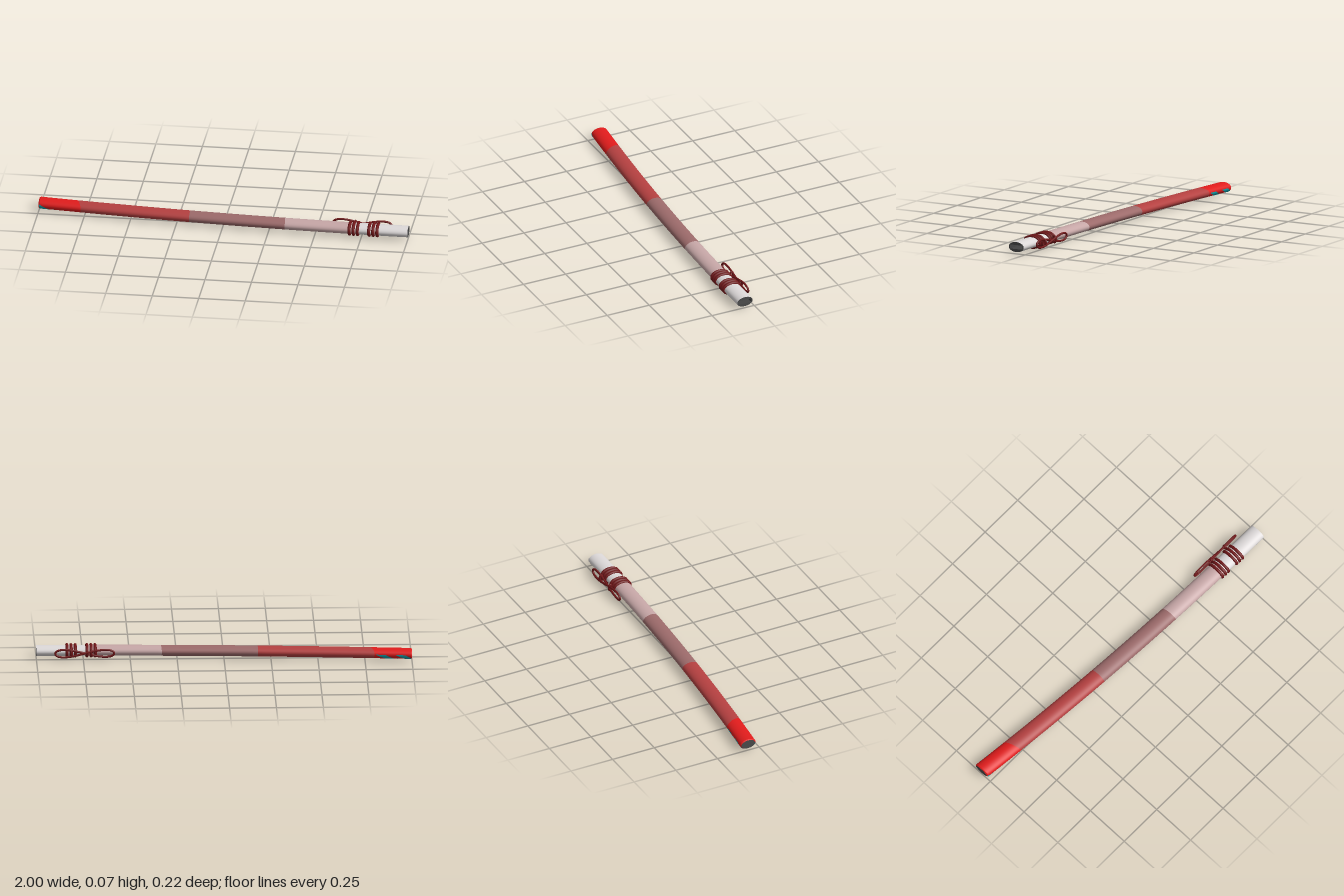
import * as THREE from 'three';

const A = 0.046, B = 0.0275, YC = 0.037, SEG = 40; // oval section half-sizes, centre height
const mid = (x) => 0.021 + 0.06 * x - 0.0265 * x * x; // curved centre line, z as a function of x

const mat = (name, color, side = THREE.FrontSide) => {
  const m = new THREE.MeshStandardMaterial({ color, side });
  m.name = name;
  return m;
};

// Point on the oval surface at station x and angle t
const onBody = (x, t, sx = 1, grow = 0) => new THREE.Vector3(
  x, YC + (B * sx + grow) * Math.sin(t), mid(x) + (A * sx + grow) * Math.cos(t));

// Surface from a grid of points
function grid(nu, nv, f, wrap) {
  const pos = [], idx = [], w = wrap ? nv : nv + 1;
  for (let i = 0; i <= nu; i++) for (let j = 0; j < w; j++) pos.push(...f(i / nu, j / nv).toArray());
  for (let i = 0; i < nu; i++) for (let j = 0; j < nv; j++) {
    const a = i * w + j, c = i * w + (j + 1) % w;
    idx.push(a, a + w, c, a + w, c + w, c);
  }
  const g = new THREE.BufferGeometry();
  g.setAttribute('position', new THREE.Float32BufferAttribute(pos, 3));
  g.setIndex(idx);
  g.computeVertexNormals();
  return g;
}

export function createModel() {
  const group = new THREE.Group();
  const add = (name, geo, material, parent = group) => {
    const m = new THREE.Mesh(geo, material);
    m.name = name;
    parent.add(m);
    return m;
  };
  const red = mat('bright red', 0xe01c1c);
  const teal = mat('teal', 0x10a5b0, THREE.DoubleSide);
  const cord = mat('cord dark red', 0x701618);
  const grey = mat('dark grey', 0x4c4c4c);
  const slotMat = mat('slot grey', 0x444444, THREE.BackSide);
  const black = mat('slot shadow', 0x2a2a2a);

  // Sheath bands: start, end and the slant of each joint
  const bands = [
    ['redBand', -0.994, -0.785, 0, 0.35, red],
    ['crimsonBand', -0.785, -0.18, 0.35, 0, mat('crimson', 0xb44040)],
    ['duskyBand', -0.18, 0.335, 0, 0.08, mat('dusky rose', 0x9c6a6a)],
    ['paleBand', 0.335, 0.71, 0.08, 0, mat('pale rose', 0xc6a6a6)],
    ['whiteBand', 0.71, 1, 0, 0, mat('off white', 0xdcd8d8)],
  ];
  for (const [name, x0, x1, s0, s1, m] of bands) {
    add(name, grid(16, SEG, (u, v) => {
      const t = v * Math.PI * 2;
      const x = x0 + (x1 - x0) * u + (s0 + (s1 - s0) * u) * A * Math.cos(t);
      return onBody(x, t);
    }, true), m);
  }

  // Closed tip: small bevel and end plate
  add('tipBevel', grid(1, SEG, (u, v) => onBody(-1 + 0.006 * u, v * Math.PI * 2, 0.88 + 0.12 * u), true), red);
  const tip = add('tipPlate', new THREE.CircleGeometry(1, SEG), grey);
  tip.scale.set(A * 0.88, B * 0.88, 1);
  tip.rotation.y = -Math.PI / 2;
  tip.position.set(-1, YC, mid(-1));

  // Diagonal stripes wrapping under the tip
  for (const shift of [0, -0.105]) {
    add('tipStripe', grid(8, 32, (u, v) => {
      const t = Math.PI * (0.98 + 1.17 * v);
      const x = -0.835 + shift - 0.17 * (t / Math.PI - 1) + (u - 0.5) * 0.05;
      return onBody(Math.max(x, -0.995), t, 1, 0.0008);
    }, false), teal);
  }

  // Mouth plate with blade slot
  const W = 0.038, H = 0.011, DEPTH = 0.25;
  const mouth = new THREE.Shape().absellipse(0, 0, A, B, 0, Math.PI * 2, false);
  const hole = new THREE.Path();
  hole.moveTo(-W, -H).lineTo(-W, H).lineTo(W, H).lineTo(W, -H).closePath();
  mouth.holes.push(hole);
  const plate = add('mouthPlate', new THREE.ShapeGeometry(mouth, SEG / 2), grey);
  plate.rotation.y = Math.PI / 2;
  plate.position.set(1, YC, mid(1));
  const slot = add('bladeSlot', new THREE.BoxGeometry(DEPTH, H * 2, W * 2), slotMat);
  slot.position.set(1 - DEPTH / 2 + 0.0002, YC, mid(1));
  const shade = add('slotDepth', new THREE.BoxGeometry(0.004, H * 1.6, W), black);
  shade.position.set(1 - DEPTH + 0.003, YC, mid(1) + W / 2);

  // Cord: two sets of three wraps, with a knot behind each
  const cordGroup = new THREE.Group();
  cordGroup.name = 'cord';
  group.add(cordGroup);
  const tube = (name, pts, r, n) => add(name,
    new THREE.TubeGeometry(new THREE.CatmullRomCurve3(pts, true), n, r, 8, true), cord, cordGroup);
  const loop = (n, f) => Array.from({ length: n }, (_, i) => f(i / n * Math.PI * 2));
  for (const cx of [0.708, 0.814]) {
    for (const k of [-1, 0, 1]) {
      tube('cordWrap', loop(24, (t) => onBody(cx + k * 0.022, t, 1, 0.001)), 0.0085, 48);
    }
    tube('cordKnot', loop(12, (t) => new THREE.Vector3(
      cx, YC + 0.017 * Math.sin(t), -0.011 + 0.008 * Math.cos(t))), 0.006, 24);
  }

  // Long bow lying flat along the back
  tube('cordBow', loop(32, (t) => new THREE.Vector3(
    0.743 + 0.157 * Math.cos(t), YC + 0.02 * Math.sin(2 * t),
    -0.015 + 0.003 * Math.sin(t))), 0.0058, 128);

  return group;
}
